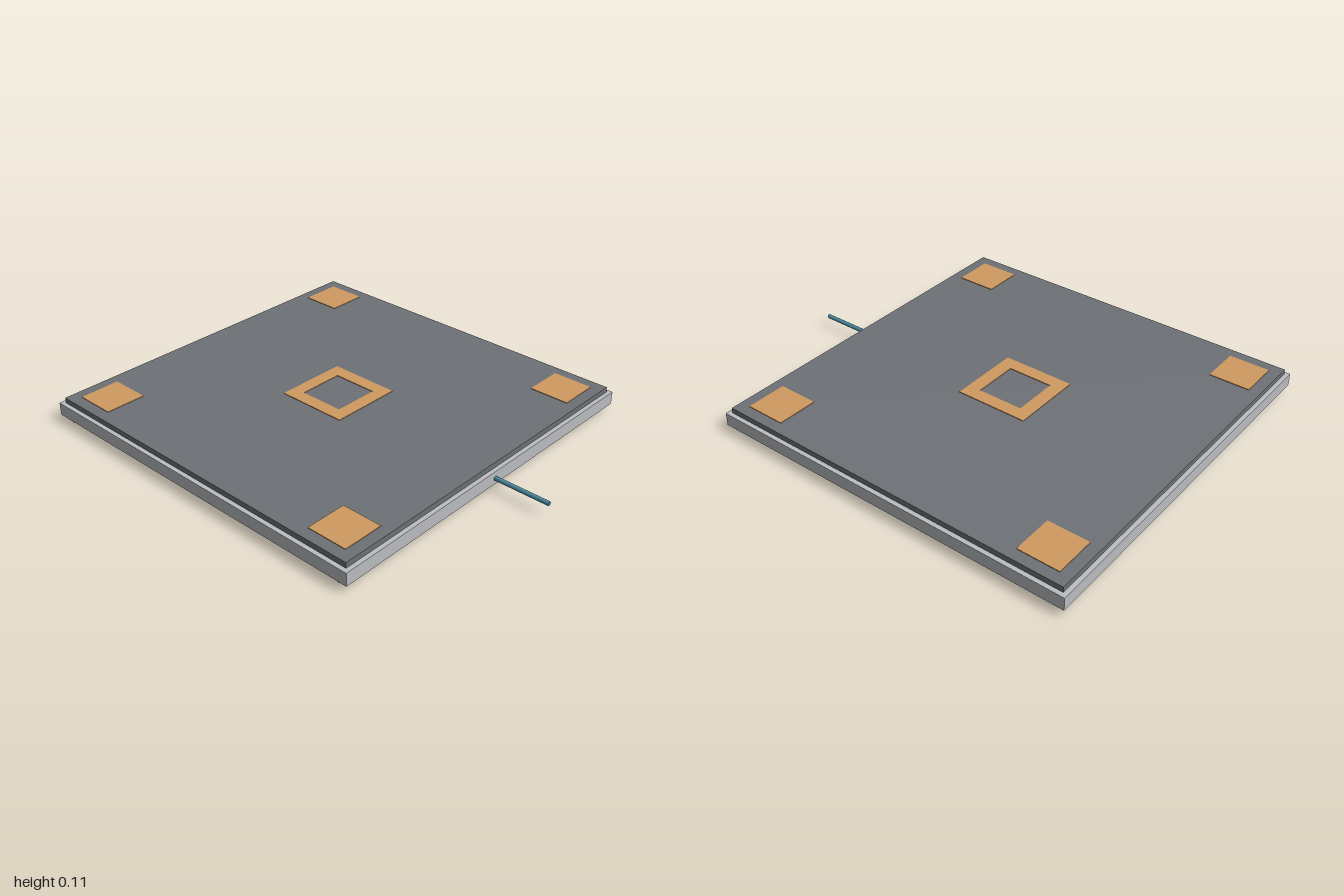
import * as THREE from 'three';

export function createModel() {
  const model = new THREE.Group();
  model.name = 'panelAssembly';
  const CX = -0.13; // centre of the square body, the cable fills the rest

  const mat = (name, color) => {
    const m = new THREE.MeshStandardMaterial({ color });
    m.name = name;
    return m;
  };
  const silver = mat('silver', 0xbcbec2);
  const grey = mat('slateGrey', 0x6e7277);
  const copper = mat('copper', 0xd09a60);
  const teal = mat('teal', 0x4f90a6);

  const add = (name, geometry, material, x, y, z) => {
    const mesh = new THREE.Mesh(geometry, material);
    mesh.name = name;
    mesh.position.set(x, y, z);
    model.add(mesh);
    return mesh;
  };

  // Flat square ring lying in the xz plane, its base at y = 0
  const squareRing = (outer, inner, height) => {
    const square = (Type, h) =>
      new Type([[-h, -h], [h, -h], [h, h], [-h, h]].map(([x, y]) => new THREE.Vector2(x, y)));
    const shape = square(THREE.Shape, outer / 2);
    shape.holes.push(square(THREE.Path, inner / 2));
    return new THREE.ExtrudeGeometry(shape, { depth: height, bevelEnabled: false }).rotateX(-Math.PI / 2);
  };

  // Open frame and the plate on top of it
  add('frame', squareRing(1.74, 1.69, 0.06), silver, CX, 0.025, 0);
  add('topPlate', new THREE.BoxGeometry(1.7, 0.03, 1.7), grey, CX, 0.095, 0);

  // Contact pads in the corners and the ring in the middle
  const padGeo = new THREE.BoxGeometry(0.19, 0.006, 0.19);
  const footGeo = new THREE.CylinderGeometry(0.04, 0.04, 0.026, 32);
  for (const sx of [-1, 1]) {
    for (const sz of [-1, 1]) {
      add('cornerPad', padGeo, copper, CX + sx * 0.703, 0.11, sz * 0.703);
      add('foot', footGeo, copper, CX + sx * 0.81, 0.013, sz * 0.81);
    }
  }
  add('centreRing', squareRing(0.34, 0.215, 0.004), copper, CX, 0.109, 0);

  // Grid of discs under the plate
  const discGeo = new THREE.CylinderGeometry(0.178, 0.178, 0.012, 48);
  for (let i = 0; i < 4; i++) {
    for (let j = 0; j < 4; j++) {
      add('disc', discGeo, teal, CX + (i - 1.5) * 0.425, 0.075, (j - 1.5) * 0.425);
    }
  }

  // Control box underneath and the cable leaving the +x side
  add('controlBox', new THREE.BoxGeometry(0.34, 0.045, 0.21), teal, CX, 0.056, 0);
  const cable = add('cable', new THREE.CylinderGeometry(0.01, 0.01, 0.28, 16), teal, 0.86, 0.053, 0);
  cable.rotation.z = Math.PI / 2;

  return model;
}
